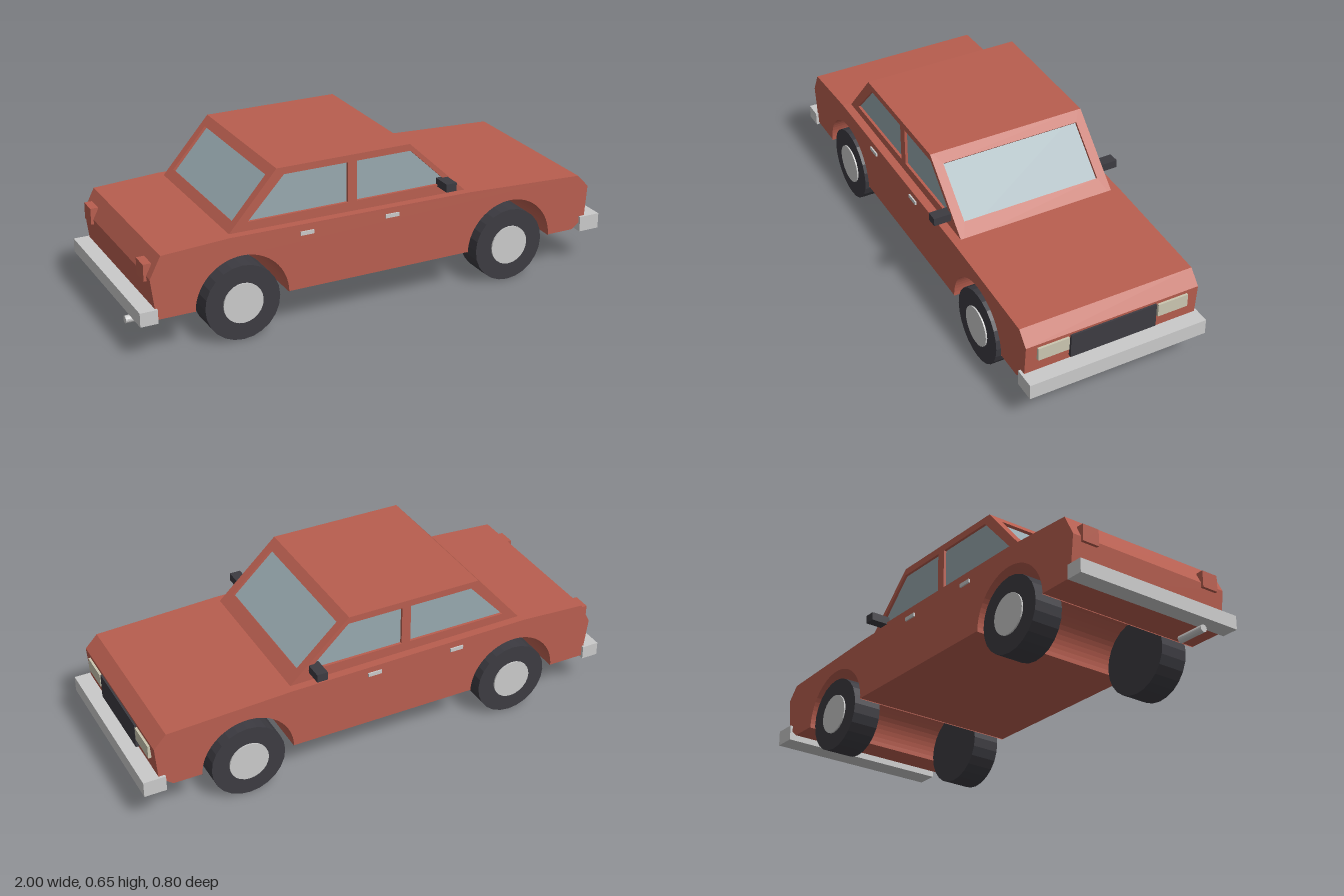
import * as THREE from 'three';

const mat = (name, color) => new THREE.MeshStandardMaterial({ name, color });

export function createModel() {
  const car = new THREE.Group();
  car.name = 'car';
  const paint = mat('red paint', 0xb85e4f);
  const glass = mat('window glass', 0x97a8ae);
  const chrome = mat('pale metal', 0xc9c9c9);
  const rubber = mat('dark rubber', 0x3c3b41);
  const lamp = mat('headlight', 0xcac6b0);

  const add = (name, geometry, material) => {
    const mesh = new THREE.Mesh(geometry, material);
    mesh.name = name;
    car.add(mesh);
    return mesh;
  };
  // Box given by its minimum and maximum corners
  const box = (name, [x0, y0, z0], [x1, y1, z1], material) => {
    const g = new THREE.BoxGeometry(x1 - x0, y1 - y0, z1 - z0);
    return add(name, g.translate((x0 + x1) / 2, (y0 + y1) / 2, (z0 + z1) / 2), material);
  };
  const poly = (pts) => pts.map(([x, y]) => new THREE.Vector2(x, y));
  const extrude = (shape, z0, z1) => new THREE.ExtrudeGeometry(shape, {
    depth: z1 - z0, bevelEnabled: false, curveSegments: 16,
  }).translate(0, 0, z0);

  // Lower body: side profile with wheel arches running right through
  const axles = [-0.59, 0.573], halfWidth = 0.362, archR = 0.19;
  const profile = new THREE.Shape();
  profile.moveTo(-0.932, 0.16);
  for (const x of axles) {
    profile.lineTo(x - archR, 0.16);
    profile.absarc(x, 0.157, archR, Math.PI, 0, true);
    profile.lineTo(x + archR, 0.16);
  }
  for (const [x, y] of [[0.88, 0.16], [0.935, 0.205], [0.945, 0.34], [0.895, 0.393],
    [0.385, 0.416], [-0.635, 0.426], [-0.908, 0.411], [-0.952, 0.325]]) profile.lineTo(x, y);
  profile.closePath();
  add('body', extrude(profile, -halfWidth, halfWidth), paint);

  // Cabin: glass core inside painted panels with window openings
  const t = 0.011, cabinZ = 0.328;
  const cabin = [[-0.635, 0.415], [0.385, 0.41], [0.13, 0.65], [-0.43, 0.65]];
  const core = [[-0.618, 0.415], [0.37, 0.41], [0.126, 0.639], [-0.425, 0.639]];
  add('cabinGlass', extrude(new THREE.Shape(poly(core)), -cabinZ + t, cabinZ - t), glass);
  const side = new THREE.Shape(poly(cabin));
  side.holes.push(
    new THREE.Path(poly([[-0.55, 0.46], [-0.40, 0.622], [-0.135, 0.622], [-0.135, 0.46]])),
    new THREE.Path(poly([[-0.097, 0.46], [-0.097, 0.622], [0.133, 0.622], [0.303, 0.46]])),
  );
  add('leftCabinSide', extrude(side, cabinZ - t, cabinZ), paint);
  add('rightCabinSide', extrude(side, -cabinZ, -cabinZ + t), paint);
  box('roof', [-0.43, 0.65 - t, -cabinZ + t], [0.13, 0.65, cabinZ - t], paint);

  // Sloping frames around the windscreen and the rear window
  const slopeFrame = (name, base, top, s) => {
    const up = new THREE.Vector3(top[0] - base[0], top[1] - base[1], 0);
    const length = up.length();
    up.normalize();
    const out = new THREE.Vector3(s * up.y, -s * up.x, 0);
    const across = new THREE.Vector3(0, 0, -s);
    const w = cabinZ - t, h = 0.29;
    const lo = (0.458 - base[1]) / up.y, hi = (0.618 - base[1]) / up.y;
    const frame = new THREE.Shape(poly([[-w, 0], [w, 0], [w, length], [-w, length]]));
    frame.holes.push(new THREE.Path(poly([[-h, lo], [-h, hi], [h, hi], [h, lo]])));
    const m = new THREE.Matrix4().makeBasis(across, up, out).setPosition(base[0], base[1], 0);
    add(name, extrude(frame, -t, 0).applyMatrix4(m), paint);
  };
  slopeFrame('windscreenFrame', cabin[1], cabin[2], 1);
  slopeFrame('rearWindowFrame', cabin[0], cabin[3], -1);

  // Bumpers, grille and exhaust
  box('frontBumper', [0.91, 0.148, -0.373], [1, 0.212, 0.373], chrome);
  box('rearBumper', [-1, 0.15, -0.373], [-0.93, 0.206, 0.373], chrome);
  box('grille', [0.93, 0.228, -0.18], [0.952, 0.33, 0.18], rubber);
  add('exhaust', new THREE.CylinderGeometry(0.015, 0.015, 0.12, 16)
    .rotateZ(Math.PI / 2).translate(-0.94, 0.106, 0.202), chrome);

  // Parts repeated on both sides
  for (const s of [1, -1]) {
    const label = s > 0 ? 'left' : 'right';
    const pair = (name, x0, x1, y0, y1, z0, z1, material) => box(label + name,
      [x0, y0, Math.min(s * z0, s * z1)], [x1, y1, Math.max(s * z0, s * z1)], material);
    pair('Headlight', 0.93, 0.953, 0.27, 0.325, 0.187, 0.315, lamp);
    pair('TailLight', -0.962, -0.93, 0.305, 0.372, 0.252, 0.325, paint);
    pair('Mirror', 0.255, 0.3, 0.452, 0.485, 0.31, 0.399, rubber);
    pair('RearHandle', -0.352, -0.296, 0.38, 0.395, 0.35, 0.368, chrome);
    pair('FrontHandle', 0.008, 0.066, 0.38, 0.395, 0.35, 0.368, chrome);

    axles.forEach((x, i) => {
      const end = i ? 'Front' : 'Rear';
      const disc = (r, z0, z1) => new THREE.CylinderGeometry(r, r, z1 - z0, 24)
        .rotateX(Math.PI / 2).translate(x, 0.154, s * (z0 + z1) / 2);
      add(label + end + 'Tyre', disc(0.152, 0.242, 0.362), rubber);
      add(label + end + 'Hub', disc(0.081, 0.3, 0.368), chrome);
    });
  }
  // Faceted shading on all parts
  for (const m of [paint, glass, chrome, rubber, lamp]) m.flatShading = true;
  return car;
}
